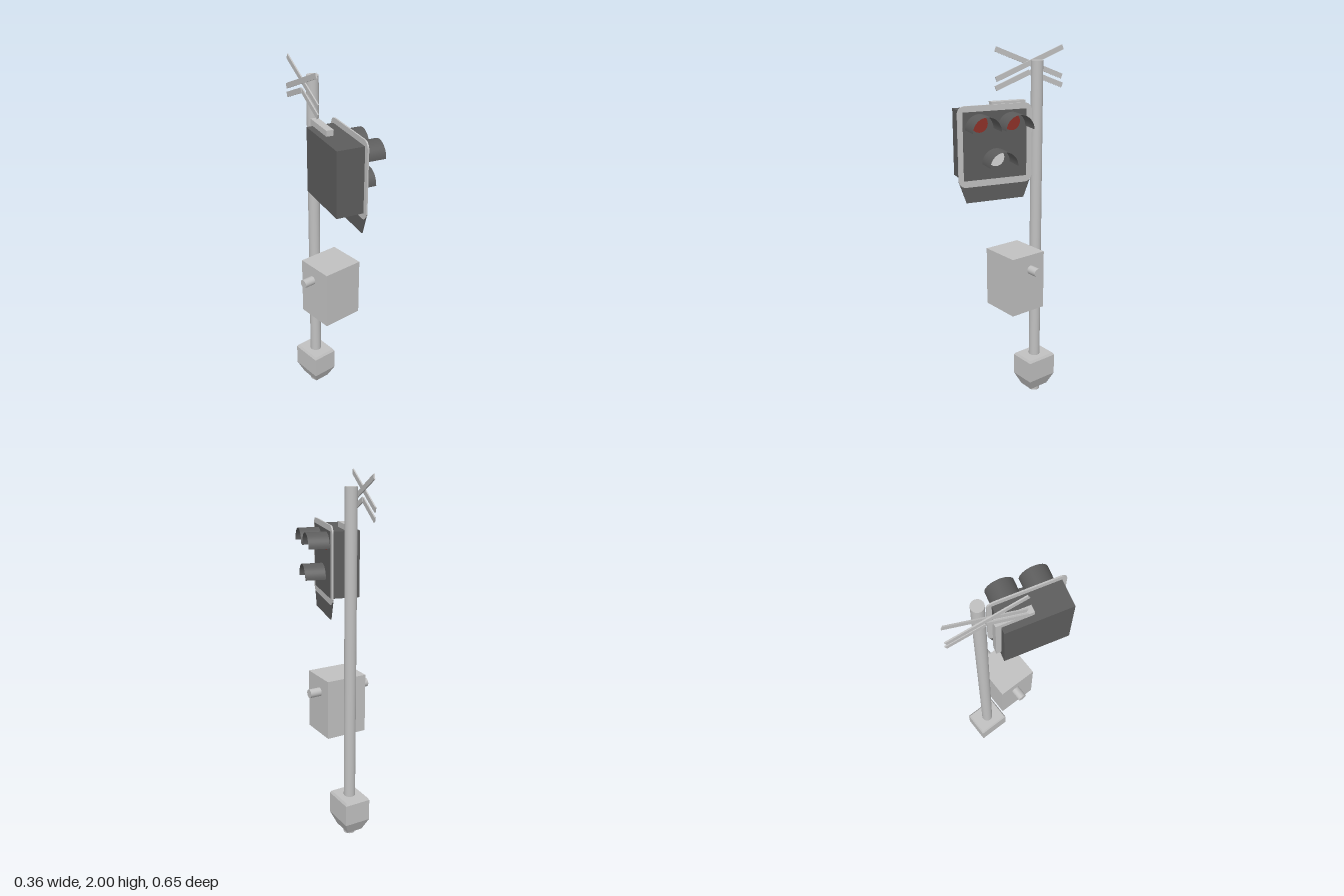
import * as THREE from 'three';

const mat = (name, color, extra = {}) => {
  const m = new THREE.MeshStandardMaterial({ color, ...extra });
  m.name = name;
  return m;
};

export function createModel() {
  const light = mat('light grey metal', 0xc0c0c0);
  const dark = mat('dark grey housing', 0x5c5c5c);
  const hoodDark = mat('dark grey hood', 0x5c5c5c, { side: THREE.DoubleSide });
  const red = mat('red lens', 0x8c3028);
  const white = mat('clear lens', 0xd4d4d4);
  const root = new THREE.Group();
  root.name = 'crossingSignal';

  const add = (name, geo, material, x = 0, y = 0, z = 0, parent = root) => {
    const m = new THREE.Mesh(geo, material);
    m.name = name;
    m.position.set(x, y, z);
    parent.add(m);
    return m;
  };
  // box given by its minimum and maximum corners
  const box = (name, material, a, b) => add(name,
    new THREE.BoxGeometry(b[0] - a[0], b[1] - a[1], b[2] - a[2]), material,
    (a[0] + b[0]) / 2, (a[1] + b[1]) / 2, (a[2] + b[2]) / 2);
  // outline drawn in z and y, extruded backwards from xFront
  const panel = (name, shape, material, xFront, depth) => {
    const geo = new THREE.ExtrudeGeometry(shape, { depth, bevelEnabled: false, curveSegments: 6 });
    add(name, geo, material, xFront).rotation.y = -Math.PI / 2;
  };
  // rectangular cross-sections [y, half width, half depth] joined with flat faces
  const loft = (levels) => {
    const pos = [], idx = [], n = levels.length;
    for (const [y, w, d] of levels) pos.push(-w, y, d, w, y, d, w, y, -d, -w, y, -d);
    for (let i = 0; i < n - 1; i++) for (let k = 0; k < 4; k++) {
      const a = i * 4 + k, b = i * 4 + (k + 1) % 4;
      idx.push(a, b, b + 4, a, b + 4, a + 4);
    }
    const t = (n - 1) * 4;
    idx.push(t, t + 1, t + 2, t, t + 2, t + 3, 0, 2, 1, 0, 3, 2);
    const geo = new THREE.BufferGeometry();
    geo.setAttribute('position', new THREE.Float32BufferAttribute(pos, 3));
    geo.setIndex(idx);
    const flat = geo.toNonIndexed();
    flat.computeVertexNormals();
    return flat;
  };

  // Pole and tapered foot
  const px = -0.032, pz = -0.141, turn = Math.PI / 12;
  add('pole', new THREE.CylinderGeometry(0.032, 0.032, 1.93, 24), light, px, 0.965, pz);
  add('foot', loft([[0.03, 0.045, 0.06], [0.1, 0.075, 0.092], [0.222, 0.075, 0.092], [0.235, 0.067, 0.084]]),
    light, px, 0, pz).rotation.y = turn;

  // Control cabinet with a round bar through its sides
  const cabinet = new THREE.Group();
  cabinet.name = 'cabinet';
  cabinet.position.set(0.004, 0, -0.0015);
  cabinet.rotation.y = turn;
  root.add(cabinet);
  add('cabinetBox', new THREE.BoxGeometry(0.234, 0.33, 0.216), light, 0, 0.755, 0, cabinet);
  add('cabinetBar', new THREE.CylinderGeometry(0.024, 0.024, 0.362, 20), light, 0, 0.835, -0.015, cabinet)
    .rotation.z = Math.PI / 2;

  // Signal housing and its mounting bracket
  box('signalHousing', dark, [-0.106, 1.35, -0.05], [0.041, 1.7, 0.302]);
  box('bracketTop', light, [-0.072, 1.7, -0.078], [-0.033, 1.73, 0.114]);
  box('bracketBack', light, [-0.072, 1.4, -0.078], [-0.033, 1.7, -0.05]);

  // Rounded backing plate
  const z0 = -0.076, z1 = 0.329, y0 = 1.315, y1 = 1.73, r = 0.04;
  const plate = new THREE.Shape();
  plate.absarc(z1 - r, y1 - r, r, 0, Math.PI / 2);
  plate.absarc(z0 + r, y1 - r, r, Math.PI / 2, Math.PI);
  plate.absarc(z0 + r, y0 + r, r, Math.PI, Math.PI * 1.5);
  plate.absarc(z1 - r, y0 + r, r, Math.PI * 1.5, Math.PI * 2);
  panel('backingPlate', plate, light, 0.049, 0.008);

  // Tapered skirt below the plate
  const skirt = new THREE.Shape([[-0.03, 1.232], [0.288, 1.232], [z1, 1.35], [z0, 1.35]]
    .map(([z, y]) => new THREE.Vector2(z, y)));
  panel('skirt', skirt, dark, 0.047, 0.006);
  box('facePanel', dark, [0.047, 1.35, -0.045], [0.0505, 1.7, 0.302]);

  // Three lamps: half-round hood over a lens
  const hoodGeo = new THREE.CylinderGeometry(0.076, 0.076, 0.114, 20, 1, true, 0, Math.PI);
  hoodGeo.rotateZ(Math.PI / 2);
  const lensGeo = new THREE.CircleGeometry(0.045, 24).rotateY(Math.PI / 2);
  for (const [side, y, z, lens] of [['left', 1.612, 0.214, red], ['right', 1.612, 0.0375, red], ['lower', 1.432, 0.125, white]]) {
    add(side + 'Hood', hoodGeo, hoodDark, 0.106, y, z);
    add(side + 'Lens', lensGeo, lens, 0.052, y + 0.027, z);
  }

  // Crossed boards with a chevron beneath
  const tilt = 0.38, cy = 1.911, cz = -0.127;
  for (const s of [-1, 1]) {
    add('crossBoard', new THREE.BoxGeometry(0.007, 0.027, 0.412), light, -0.096 + s * 0.004, cy, cz)
      .rotation.x = s * tilt;
    add('chevronBoard', new THREE.BoxGeometry(0.007, 0.027, 0.208), light, -0.096 + s * 0.001, 1.826, cz + s * 0.0965)
      .rotation.x = s * tilt;
  }
  return root;
}
